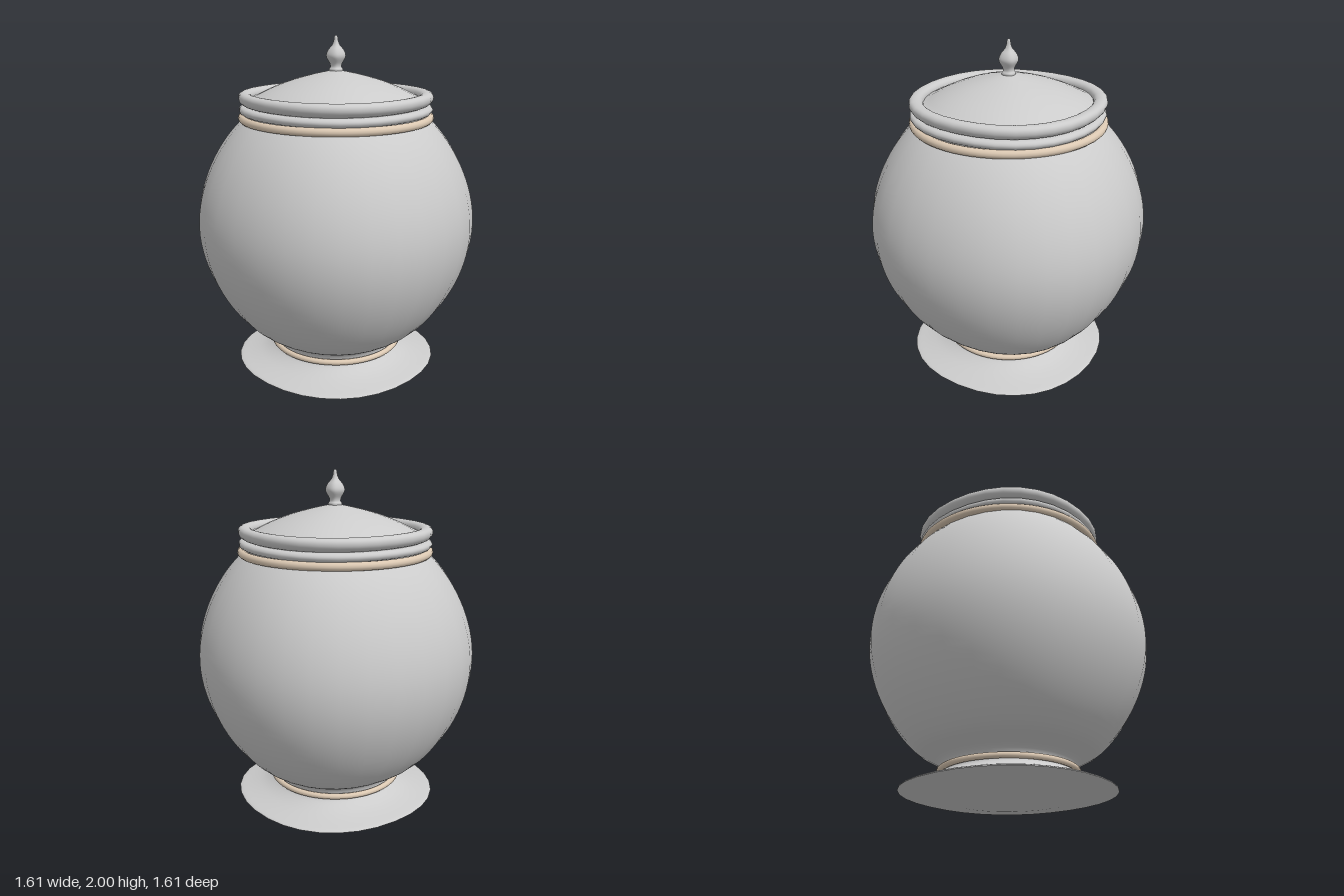
import * as THREE from 'three';
import { mergeVertices } from 'three/addons/utils/BufferGeometryUtils.js';

const PER_QUARTER = 8;
const v = (r, y) => new THREE.Vector2(r, y);
const spline = (pairs, n) => new THREE.SplineCurve(pairs.map(p => v(...p))).getPoints(n);
const bezier = (a, b, c, d, n) => new THREE.CubicBezierCurve(v(...a), v(...b), v(...c), v(...d)).getPoints(n);

export function createModel() {
  const group = new THREE.Group();
  const grey = new THREE.MeshStandardMaterial({ color: 0xcccccc });
  const tan = new THREE.MeshStandardMaterial({ color: 0xdcc9b3 });

  function add(name, geometry, material) {
    const mesh = new THREE.Mesh(geometry, material);
    mesh.name = name;
    group.add(mesh);
    return mesh;
  }

  // Turned part, profile from bottom to top. Each quarter of its plan is a
  // cubic curve; a handle above 0.552 makes it slightly squarer than a circle.
  function turn(name, points, handle = 0.605) {
    const geometry = new THREE.LatheGeometry(points, PER_QUARTER * 4);
    const quarter = new THREE.CubicBezierCurve(v(0, 1), v(handle, 1), v(1, handle), v(1, 0));
    const pos = geometry.attributes.position;
    for (let i = 0; i < pos.count; i++) {
      const step = Math.floor(i / points.length);
      const plan = quarter.getPoint((step % PER_QUARTER) / PER_QUARTER)
        .rotateAround(v(0, 0), -Math.floor(step / PER_QUARTER) * Math.PI / 2);
      const r = Math.max(points[i % points.length].x, 0);
      pos.setX(i, plan.x * r);
      pos.setZ(i, plan.y * r);
    }
    // Weld the seam so that shading runs smoothly around
    geometry.deleteAttribute('uv');
    geometry.deleteAttribute('normal');
    const welded = mergeVertices(geometry, 1e-5);
    welded.computeVertexNormals();
    add(name, welded, grey);
  }

  // Truly round coloured band
  function band(name, radius, tube, y) {
    const mesh = add(name, new THREE.TorusGeometry(radius, tube, 12, 64), tan);
    mesh.rotation.x = Math.PI / 2;
    mesh.position.y = y;
  }

  // Flared foot with a thin edge and a nearly flat underside
  turn('footUnderside', [v(0, 0), v(0.4, 0.004), v(0.594, 0.024)]);
  turn('foot', spline([[0.594, 0.024], [0.585, 0.033], [0.52, 0.047], [0.45, 0.067], [0.4, 0.092], [0.374, 0.115], [0.365, 0.145]], 18));
  band('footBand', 0.387, 0.017, 0.135);

  // Round-bellied body: turned-in base, lower belly, shoulder
  turn('body', [
    ...bezier([0.362, 0.14], [0.36, 0.195], [0.46, 0.21], [0.52, 0.265], 8),
    ...bezier([0.52, 0.265], [0.65, 0.38], [0.803, 0.63], [0.803, 0.9], 16).slice(1),
    ...bezier([0.803, 0.9], [0.803, 1.15], [0.67, 1.4], [0.52, 1.535], 16).slice(1),
  ]);

  // Neck and its rings
  turn('neck', [v(0.515, 1.52), v(0.51, 1.65)]);
  band('neckBand', 0.547, 0.024, 1.535);
  turn('neckRing', spline([[0.5, 1.553], [0.535, 1.558], [0.55, 1.58], [0.538, 1.6], [0.505, 1.606]], 12));

  // Lid: rolled rim around a shallow dome
  turn('lidRim', spline([
    [0.505, 1.604], [0.53, 1.613], [0.549, 1.635], [0.551, 1.66], [0.537, 1.677],
    [0.51, 1.681], [0.486, 1.673], [0.474, 1.655], [0.474, 1.635],
  ], 24));
  turn('lidDome', spline([[0.5, 1.638], [0.46, 1.652], [0.4, 1.683], [0.33, 1.714], [0.24, 1.747], [0.12, 1.78], [0, 1.806]], 18));

  // Pointed knob, squarer in plan
  turn('knob', spline([
    [0.036, 1.795], [0.037, 1.808], [0.03, 1.82], [0.033, 1.84], [0.049, 1.87], [0.051, 1.892],
    [0.04, 1.918], [0.021, 1.943], [0.012, 1.968], [0.009, 1.99], [0, 2],
  ], 30), 0.72);

  return group;
}
